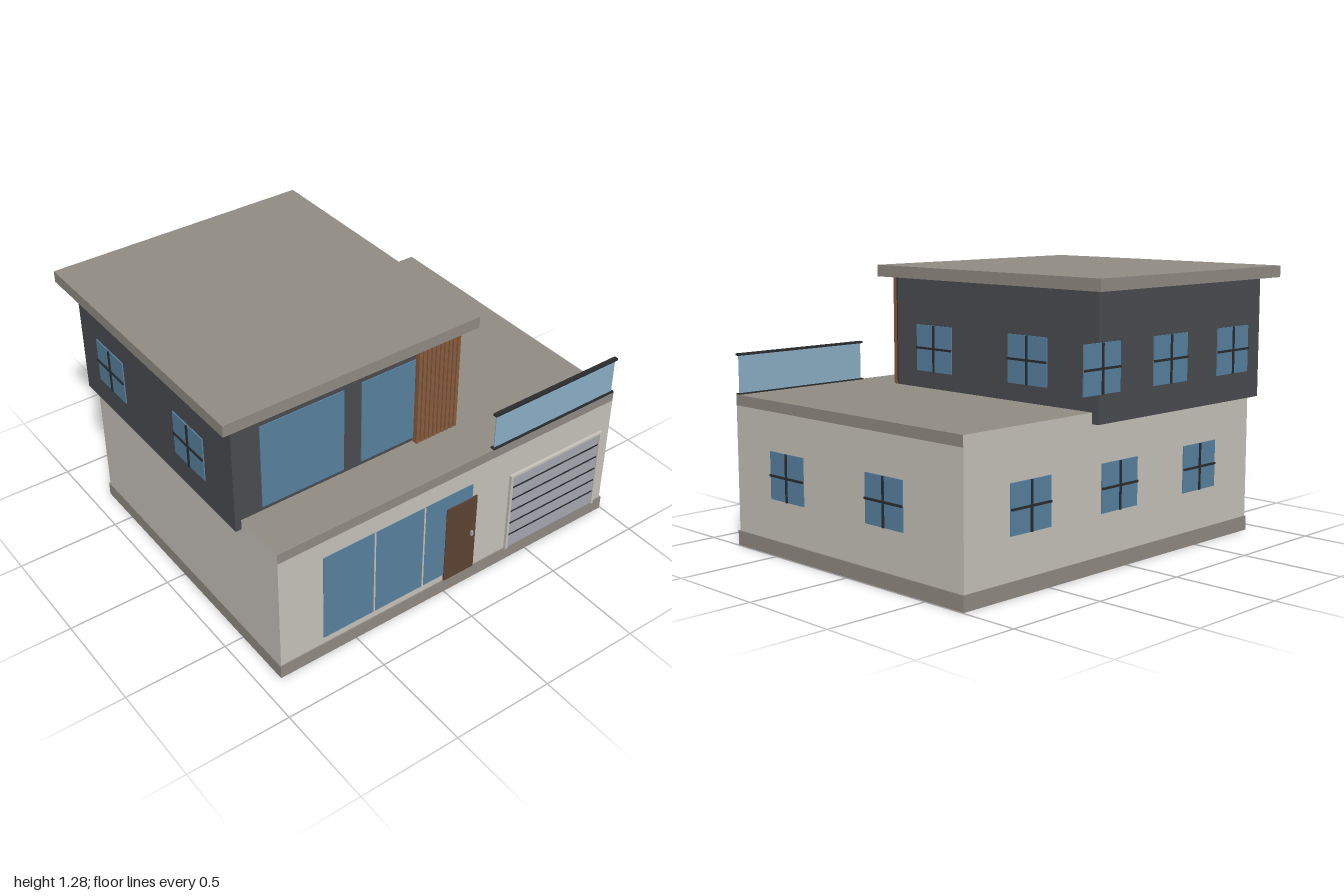
import * as THREE from 'three';

const mat = (name, color, side = THREE.FrontSide) => {
  const m = new THREE.MeshStandardMaterial({ color, side });
  m.name = name;
  return m;
};

export function createModel() {
  const cream = mat('cream render', 0xc9c5bd);
  const stone = mat('stone trim', 0x928c84, THREE.DoubleSide);
  const slate = mat('slate wall', 0x4a4d51);
  const pane = mat('window blue', 0x5982a1);
  const wood = mat('slat wood', 0x8b5e3f);
  const doorBrown = mat('door brown', 0x5f4434);
  const steel = mat('garage grey', 0xa9abb3);
  const black = mat('frame black', 0x2a2c2e);
  const glass = mat('balcony glass', 0x8db2c9);

  const house = new THREE.Group();
  house.name = 'house';

  // box given by its extents on each axis
  const box = (name, x0, x1, y0, y1, z0, z1, material, parent = house) => {
    const mesh = new THREE.Mesh(new THREE.BoxGeometry(x1 - x0, y1 - y0, z1 - z0), material);
    mesh.position.set((x0 + x1) / 2, (y0 + y1) / 2, (z0 + z1) / 2);
    mesh.name = name;
    parent.add(mesh);
    return mesh;
  };

  // plinth: a skirt open at the bottom, extruded up from a ring
  const rect = (Type, x0, x1, z0, z1) => new Type([
    new THREE.Vector2(x0, -z1), new THREE.Vector2(x1, -z1),
    new THREE.Vector2(x1, -z0), new THREE.Vector2(x0, -z0)]);
  const ring = rect(THREE.Shape, -0.905, 0.995, -0.72, 0.8);
  ring.holes.push(rect(THREE.Path, -0.898, 0.988, -0.713, 0.793));
  const plinth = new THREE.Mesh(
    new THREE.ExtrudeGeometry(ring, { depth: 0.07, bevelEnabled: false }).rotateX(-Math.PI / 2), stone);
  plinth.name = 'plinth';
  house.add(plinth);

  // storeys and roofs; face order is +x, -x, +y, -y, +z, -z
  box('groundFloor', -0.9, 0.988, 0.065, 0.66, -0.715, 0.795,
    [cream, cream, cream, stone, cream, cream]);
  box('terraceRoof', -0.9, 0.988, 0.66, 0.71, -0.715, 0.795,
    [stone, cream, stone, stone, stone, cream]);
  box('upperFloor', -0.93, 0.232, 0.66, 1.23, -0.75, 0.53, slate);
  box('mainRoof', -1, 0.3, 1.23, 1.285, -0.815, 0.595, stone);

  // small window with a cross bar, facing +z before it is turned
  const addWindow = (name, x, y, z, turn) => {
    const g = new THREE.Group();
    g.name = name;
    box('pane', -0.119, 0.119, -0.11, 0.11, -0.002, 0.004, pane, g);
    box('verticalBar', -0.005, 0.005, -0.11, 0.11, 0.003, 0.01, black, g);
    box('horizontalBar', -0.119, 0.119, -0.005, 0.005, 0.003, 0.01, black, g);
    g.position.set(x, y, z);
    g.rotation.y = turn;
    house.add(g);
  };
  const lowY = 0.37, highY = 0.9, quarter = Math.PI / 2;
  for (const z of [0.42, -0.24]) addWindow('lowerLeftWindow', 0.989, lowY, z, quarter);
  for (const z of [0.27, -0.335]) addWindow('upperLeftWindow', 0.233, highY, z, quarter);
  for (const z of [0.19, -0.48]) addWindow('upperRightWindow', -0.932, highY, z, -quarter);
  for (const x of [0.61, 0.05, -0.52]) addWindow('lowerBackWindow', x, lowY, -0.717, Math.PI);
  for (const x of [0.215, -0.25, -0.715]) addWindow('upperBackWindow', x, highY, -0.752, Math.PI);

  // large front glazing
  box('upperFrontGlazing', -0.795, -0.375, 0.73, 1.15, 0.529, 0.535, pane);
  box('upperFrontGlazing', -0.283, 0.01, 0.73, 1.15, 0.529, 0.535, pane);
  box('lowerFrontGlazing', -0.675, 0.142, 0.105, 0.57, 0.794, 0.798, pane);
  for (const x of [-0.403, -0.131])
    box('glazingDivider', x - 0.004, x + 0.004, 0.105, 0.57, 0.795, 0.8, cream);

  // wooden slat screen
  box('screenBacking', 0.005, 0.232, 0.71, 1.23, 0.529, 0.536, black);
  const slats = 10, pitch = 0.0235;
  for (let i = 0; i < slats; i++) {
    const x = 0.003 + i * pitch;
    box('screenSlat', x, x + 0.016, 0.71, 1.23, 0.53, 0.56, wood);
  }

  // front door
  box('frontDoor', -0.006, 0.168, 0.07, 0.495, 0.794, 0.803, doorBrown);
  box('doorHandle', 0.138, 0.149, 0.276, 0.3, 0.803, 0.814, steel);

  // garage door with frame and grooves
  box('garageFrame', 0.363, 0.376, 0.07, 0.51, 0.794, 0.81, cream);
  box('garageFrame', 0.918, 0.931, 0.07, 0.51, 0.794, 0.81, cream);
  box('garageFrame', 0.376, 0.918, 0.498, 0.51, 0.794, 0.81, cream);
  box('garageDoor', 0.376, 0.918, 0.07, 0.498, 0.794, 0.802, steel);
  for (let i = 0; i < 6; i++) {
    const y = 0.147 + i * 0.0715;
    if (y < 0.49) box('garageGroove', 0.376, 0.918, y - 0.004, y + 0.004, 0.8, 0.804, black);
  }

  // terrace balustrade
  box('balustradeGlass', 0.26, 0.977, 0.712, 0.892, 0.783, 0.788, glass);
  box('balustradeTopRail', 0.25, 0.985, 0.89, 0.9, 0.775, 0.797, black);
  box('balustradeBottomRail', 0.25, 0.985, 0.708, 0.716, 0.775, 0.797, black);

  return house;
}
